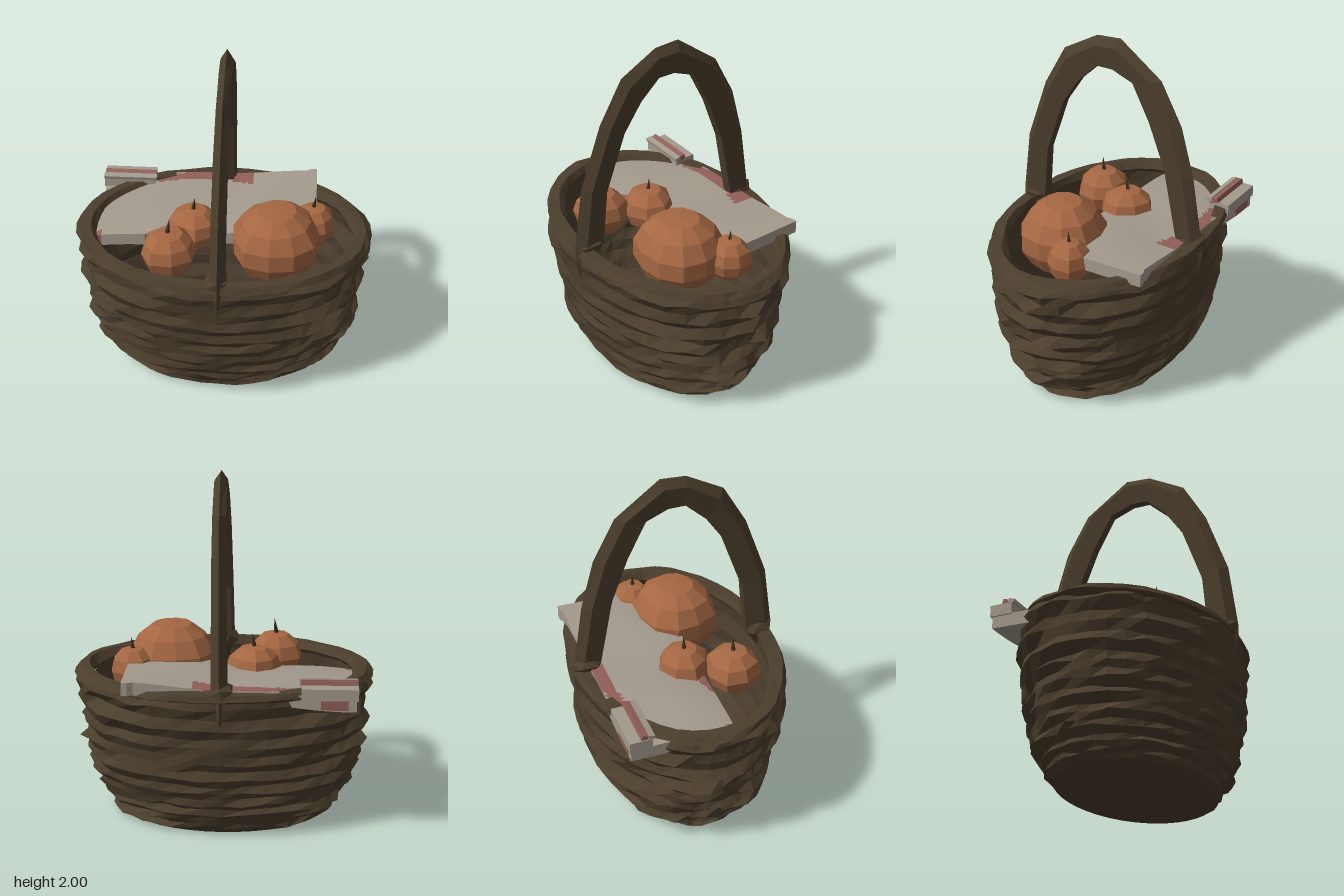
import * as THREE from 'three';

const paint = (name, color) => {
  const m = new THREE.MeshStandardMaterial({ color });
  m.name = name;
  return m;
};

// Repeatable noise in -1..1
const noise = (a, b) => {
  const s = Math.sin(a * 12.9898 + b * 78.233) * 43758.5453;
  return (s - Math.floor(s)) * 2 - 1;
};

// Faceted copy of a geometry
function facet(geo) {
  const g = geo.index ? geo.toNonIndexed() : geo;
  g.computeVertexNormals();
  return g;
}

// Skin over a list of closed rings of [x, y, z] points
function loft(rings) {
  const n = rings[0].length, index = [];
  for (let i = 0; i < rings.length - 1; i++) {
    for (let j = 0; j < n; j++) {
      const a = i * n + j, b = i * n + (j + 1) % n, d = a + n, c = b + n;
      index.push(a, d, b, b, d, c);
    }
  }
  const g = new THREE.BufferGeometry();
  g.setAttribute('position', new THREE.Float32BufferAttribute(rings.flat(2), 3));
  g.setIndex(index);
  return facet(g);
}

function warp(geo, rule) {
  const p = geo.attributes.position, v = new THREE.Vector3();
  for (let i = 0; i < p.count; i++) {
    rule(v.fromBufferAttribute(p, i));
    p.setXYZ(i, v.x, v.y, v.z);
  }
  return geo;
}

export function createModel() {
  const model = new THREE.Group();
  const wicker = paint('wicker brown', 0x4b3e2d);
  const orange = paint('pumpkin orange', 0xa56743);
  const linen = paint('linen grey', 0xa39a8d);
  const pink = paint('faded pink', 0x925f59);
  const stemBrown = paint('stem brown', 0x3d3022);

  const add = (name, geo, mat, parent = model) => {
    const mesh = new THREE.Mesh(geo, mat);
    mesh.name = name;
    parent.add(mesh);
    return mesh;
  };

  // Oval ring of the basket, with optional weave relief
  const SEG = 40;
  const oval = (y, rx, rz, row = 0, relief = 0, lift = 0) =>
    Array.from({ length: SEG }, (_, j) => {
      const t = (j / SEG) * Math.PI * 2, c = Math.cos(t), s = Math.sin(t);
      const strand = Math.floor((j + row * 3) / 2);
      const k = relief * (0.35 + 0.65 * Math.abs(c));
      const out = k * ((row % 2 ? 0.5 : -0.5) + 0.8 * noise(strand, row));
      return [c * (rx + out), y + lift * noise(j, row + 7), s * (rz + out)];
    });

  // Woven outer wall with a closed base
  const profile = new THREE.CatmullRomCurve3([
    [0.6, 0, 0.41], [0.69, 0.11, 0.48], [0.75, 0.25, 0.535], [0.8, 0.42, 0.565],
    [0.825, 0.62, 0.585], [0.835, 0.86, 0.595],
  ].map((p) => new THREE.Vector3(...p)));
  const ROWS = 20;
  const wall = [oval(0, 0, 0), oval(0, 0.6, 0.41)];
  for (let i = 1; i <= ROWS; i++) {
    const p = profile.getPoint(i / ROWS);
    wall.push(oval(p.y, p.x, p.z, i, 0.034, i < ROWS ? 0.009 : 0));
  }
  add('basketWall', loft(wall), wicker);

  // Inner wall and floor
  const inside = [];
  for (let i = 0; i <= 10; i++) {
    const p = profile.getPoint(0.98 - i * 0.088);
    inside.push(oval(p.y, p.x - 0.06, p.z - 0.06, i, 0.02, 0.006));
  }
  inside.push(oval(0.08, 0, 0));
  add('basketLining', loft(inside), wicker);

  // Rim band
  add('basketRim', loft([
    oval(0.82, 0.815, 0.57), oval(0.845, 0.85, 0.605, 1, 0.018, 0.008),
    oval(0.88, 0.838, 0.595, 2, 0.012, 0.004), oval(0.882, 0.775, 0.53, 3, 0.016, 0.005),
    oval(0.84, 0.755, 0.52, 4, 0.014, 0.008), oval(0.8, 0.78, 0.535),
  ]), wicker);

  // Arched handle: outer z, y, inner z, y, half width
  const arch = [
    [0.59, 0.68, 0.57, 0.69, 0.006], [0.62, 0.8, 0.5, 0.8, 0.03],
    [0.62, 0.9, 0.45, 0.9, 0.046], [0.57, 1.27, 0.42, 1.22, 0.043],
    [0.44, 1.63, 0.3, 1.55, 0.041], [0.3, 1.87, 0.19, 1.71, 0.038],
    [0.08, 1.99, 0.07, 1.82, 0.036], [-0.07, 2, -0.03, 1.82, 0.036],
    [-0.33, 1.81, -0.16, 1.77, 0.038], [-0.46, 1.57, -0.27, 1.56, 0.041],
    [-0.54, 1.28, -0.37, 1.3, 0.043], [-0.6, 0.9, -0.45, 0.9, 0.046],
    [-0.61, 0.8, -0.5, 0.8, 0.03], [-0.59, 0.7, -0.57, 0.71, 0.006],
  ];
  add('handle', loft(arch.map(([oz, oy, iz, iy, w]) => {
    const lean = 0.004 + 0.014 * Math.max(0, (oy - 0.9) / 1.1);
    const at = (x, f) => [x + lean, oy + (iy - oy) * f, oz + (iz - oz) * f];
    return [at(w * 0.7, 1), at(w, 0.3), at(0, 0), at(-w, 0.3), at(-w * 0.7, 1)];
  })), wicker);

  // Lashings where the handle meets the rim
  for (const side of [1, -1]) {
    const knot = add(side > 0 ? 'frontLashing' : 'backLashing',
      facet(new THREE.IcosahedronGeometry(1, 0)), wicker);
    knot.scale.set(0.075, 0.05, 0.1);
    knot.rotation.z = 0.25 * side;
    knot.position.set(-0.005, 0.89, side * 0.53);
  }

  // Pumpkins: centre, radii, twist, stem height
  const pumpkins = [
    ['largePumpkin', 0.31, 0.87, 0.125, 0.265, 0.235, 0.25, 0.3, 0],
    ['middlePumpkin', -0.17, 0.86, 0, 0.155, 0.135, 0.155, 0.9, 0.07],
    ['frontPumpkin', -0.295, 0.86, 0.25, 0.165, 0.145, 0.16, 0.2, 0.085],
    ['sidePumpkin', 0.525, 0.86, -0.065, 0.13, 0.135, 0.125, 1.4, 0.06],
  ];
  for (const [name, x, y, z, rx, ry, rz, twist, stem] of pumpkins) {
    const group = new THREE.Group();
    group.name = name;
    group.position.set(x, y, z);
    const big = rx > 0.2;
    const body = warp(new THREE.SphereGeometry(1, big ? 11 : 8, big ? 7 : 6), (v) => {
      v.applyAxisAngle(THREE.Object3D.DEFAULT_UP, twist);
      const r = 1 + 0.05 * Math.sin(4 * v.x + 3 * v.z + twist * 5);
      const dip = Math.hypot(v.x, v.z) < 0.01 ? 0.94 : 1;
      v.set(v.x * rx * r, v.y * ry * dip, v.z * rz * r);
    });
    add('pumpkinFlesh', facet(body), orange, group);
    if (stem) {
      const cone = add('stem', facet(new THREE.ConeGeometry(0.02, stem + 0.04, 4)), stemBrown, group);
      cone.position.y = ry + stem / 2 - 0.025;
      cone.rotation.z = -0.12;
    }
    model.add(group);
  }

  // Folded cloth, rising toward the left end
  const cloth = facet(warp(new THREE.BoxGeometry(1.28, 0.075, 0.6, 40, 1, 24), (v) => {
    v.x -= 0.1;
    v.z -= 0.22;
    const front = Math.max(0, (v.z + 0.2) / 0.28);
    v.y += 0.812 + 0.06 * (v.x + 0.75) - 0.025 * front * front + 0.006 * Math.sin(9 * v.x + 5 * v.z);
    if (v.x > 0.5) v.z += 0.015 * Math.sign(v.z + 0.22);
  }));

  // Faded pink stains on the cloth
  const stained = (x, z) => {
    const arc = -0.455 - 0.03 * Math.sin((x + 0.42) * 5.5);
    const band = x > -0.42 && x < 0.15 && Math.abs(z - arc) < (x > 0.02 ? 0.055 : 0.035);
    const edge = z > 0.02 + 0.4 * Math.abs(x + 0.33) && Math.abs(x + 0.36) < 0.09;
    return band || edge || (x < -0.7 && z > 0.04);
  };
  const pos = cloth.attributes.position.array, plain = [], stains = [];
  for (let i = 0; i < pos.length; i += 9) {
    const x = (pos[i] + pos[i + 3] + pos[i + 6]) / 3;
    const z = (pos[i + 2] + pos[i + 5] + pos[i + 8]) / 3;
    (stained(x, z) ? stains : plain).push(...pos.slice(i, i + 9));
  }
  for (const [name, list, mat] of [['cloth', plain, linen], ['clothStains', stains, pink]]) {
    const g = new THREE.BufferGeometry();
    g.setAttribute('position', new THREE.Float32BufferAttribute(list, 3));
    add(name, facet(g), mat);
  }

  // Cloth corner hanging out over the back rim
  const fold = (name, w, h, d, x, y, z, mat) => {
    const mesh = add(name, new THREE.BoxGeometry(w, h, d), mat);
    mesh.position.set(x, y, z);
    return mesh;
  };
  fold('clothCorner', 0.31, 0.065, 0.13, -0.595, 0.873, -0.465, linen);
  fold('cornerLining', 0.15, 0.06, 0.1, -0.62, 0.815, -0.475, pink);
  fold('foldEdge', 0.31, 0.03, 0.05, -0.59, 0.915, -0.435, pink).rotation.x = 0.25;
  fold('foldBack', 0.32, 0.022, 0.035, -0.59, 0.917, -0.405, linen).rotation.x = 0.25;

  return model;
}
